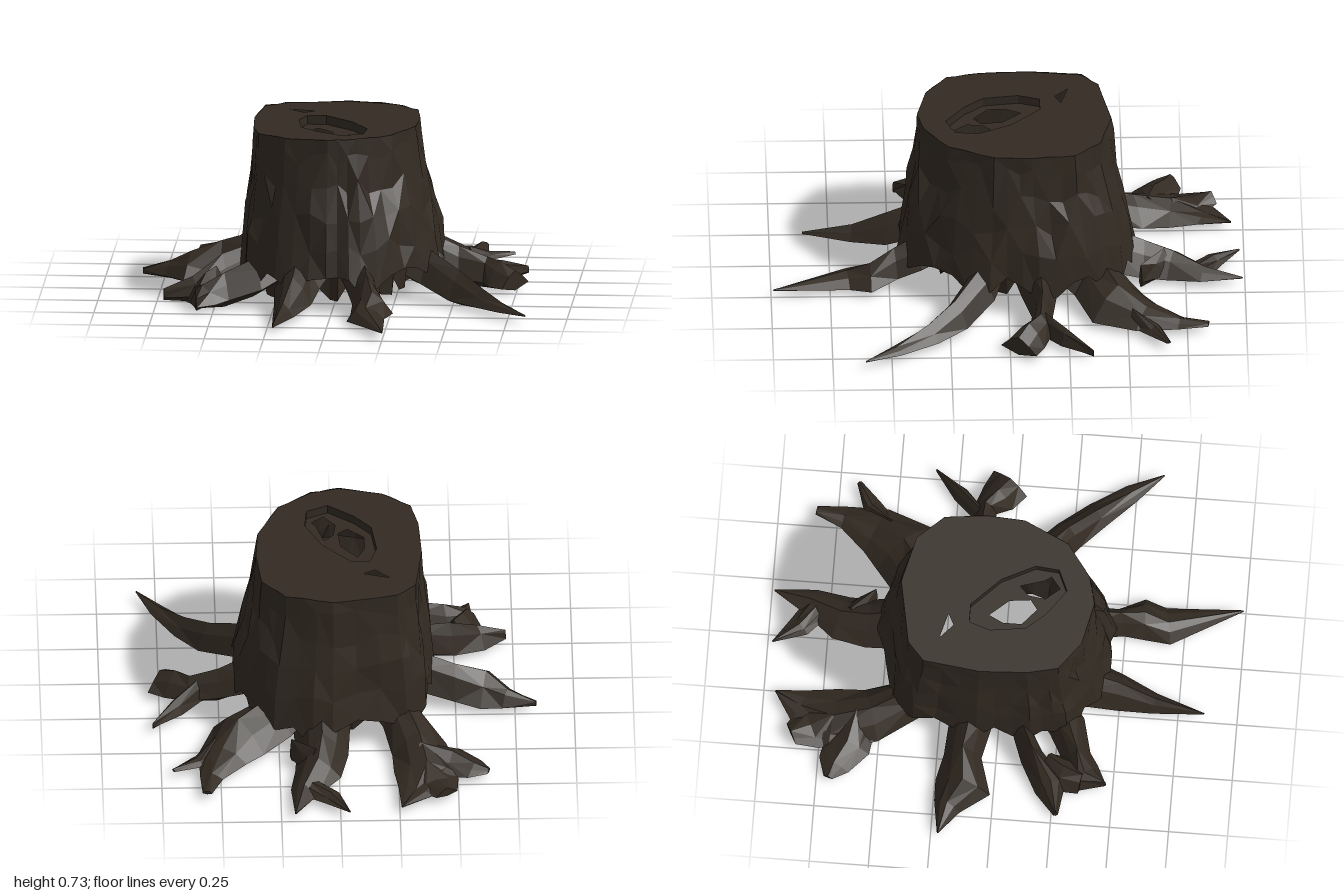
import * as THREE from 'three';

const bark = new THREE.MeshStandardMaterial({ color: 0x322a22, roughness: 1, flatShading: true, side: THREE.DoubleSide });

// repeatable jitter in -1..1
let seed = 7;
const jitter = () => {
  seed = (seed * 16807) % 2147483647;
  return (seed / 2147483647) * 2 - 1;
};

// skin a list of closed rings (arrays of Vector3), optionally closing both ends
function skin(rings, capped = false) {
  const n = rings[0].length, pos = [], index = [];
  rings.flat().forEach(p => pos.push(p.x, p.y, p.z));
  for (let i = 0; i < rings.length - 1; i++) {
    for (let j = 0; j < n; j++) {
      const a = i * n + j, c = i * n + (j + 1) % n;
      if ((i + j) % 2) index.push(a, c, a + n, c, c + n, a + n);
      else index.push(a, c, c + n, a, c + n, a + n);
    }
  }
  if (capped) {
    const last = (rings.length - 1) * n;
    for (let j = 1; j < n - 1; j++) index.push(0, j + 1, j, last, last + j, last + j + 1);
  }
  const g = new THREE.BufferGeometry();
  g.setAttribute('position', new THREE.Float32BufferAttribute(pos, 3));
  g.setIndex(index);
  g.computeVertexNormals();
  return g;
}

// horizontal sheet from an (x, z) outline with holes
function sheet(outline, holes, y) {
  const flat = pts => pts.map(([x, z]) => new THREE.Vector2(x, -z));
  const shape = new THREE.Shape(flat(outline));
  holes.forEach(h => shape.holes.push(new THREE.Path(flat(h))));
  return new THREE.ShapeGeometry(shape).rotateX(-Math.PI / 2).translate(0, y, 0);
}

// roots in plan: [x, z, half width] from the trunk outwards
const roots = [
  [[.40, .13, .08], [.53, .23, .07], [.63, .34, .06], [.74, .48, .04], [.83, .61, 0]],
  [[.38, -.13, .08], [.50, -.14, .045], [.62, -.13, .05], [.68, -.08, .08], [.745, -.035, .09]],
  [[.28, -.38, .13], [.42, -.46, .15], [.49, -.58, .11], [.54, -.72, .05], [.56, -.84, .02]],
  [[.07, -.44, .12], [.07, -.58, .11], [.09, -.70, .10], [.15, -.83, .06], [.19, -.99, 0]],
  [[-.27, -.38, .09], [-.34, -.54, .12], [-.37, -.70, .14], [-.32, -.84, .08], [-.26, -.95, 0]],
  [[-.38, -.12, .09], [-.50, -.14, .08], [-.63, -.13, .12], [-.72, -.19, .06], [-.84, -.22, 0]],
  [[-.38, .10, .04], [-.48, .15, .05], [-.60, .24, .07], [-.72, .27, .01]],
  [[-.34, .29, .08], [-.46, .34, .06], [-.55, .38, .08], [-.57, .47, 0]],
  [[-.15, .38, .10], [-.16, .50, .08], [-.19, .65, .045], [-.22, .86, 0]],
  [[.13, .38, .07], [.15, .48, .06], [.18, .58, .09], [.16, .68, .08], [.25, .99, 0]]
];
// side branches growing out of the roots
const forks = [
  [[.58, -.14, .03], [.68, -.24, .035], [.78, -.35, 0]],
  [[.52, -.52, .03], [.60, -.61, .04], [.70, -.67, .01]],
  [[.13, -.80, .06], [.04, -.87, .05], [-.04, -.98, 0]],
  [[.10, -.66, .05], [.15, -.61, .04], [.20, -.56, .01]],
  [[-.34, -.60, .09], [-.48, -.63, .10], [-.57, -.68, .07], [-.63, -.70, .02]],
  [[-.37, -.70, .11], [-.41, -.79, .10], [-.45, -.87, .05]],
  [[-.50, .22, .05], [-.54, .29, .08], [-.56, .37, .06]]
];

// ridged, flattened root that sinks towards its tip
const section = [[1, .25], [.55, .7], [0, 1], [-.5, .75], [-1, .2], [0, 0]];
function rootGeometry(path, joinsTrunk) {
  const pts = joinsTrunk ? [[path[0][0] * .8, path[0][1] * .8, path[0][2]], ...path] : path;
  const rings = pts.map(([x, z, w], i) => {
    const p = pts[Math.max(i - 1, 0)], q = pts[Math.min(i + 1, pts.length - 1)];
    const d = new THREE.Vector2(q[0] - p[0], q[1] - p[1]).normalize();
    const r = Math.min(Math.hypot(x, z), 1);
    const slim = Math.min(1, w / .05);
    const low = .01 + Math.max(0, .55 - r) * .35 + Math.max(0, r - .65) * .09;
    const fall = 1.3 + Math.max(0, z);
    const high = Math.max(low + .008 + .025 * slim, .04 + .2 * Math.pow((1 - r) / .6, fall) * (.6 + .4 * slim));
    const half = Math.max(w, .003);
    return section.map(([u, v]) => new THREE.Vector3(
      x + d.y * half * u,
      low + (high - low) * v + jitter() * .01 * slim * v,
      z - d.x * half * u));
  });
  return skin(rings, true);
}

// sawn outline, refined to three points per side
const corners = [[-.33, -.32], [-.25, -.39], [.02, -.44], [.22, -.39], [.32, -.28], [.34, -.1], [.33, .06],
  [.24, .25], [.1, .35], [-.02, .38], [-.2, .34], [-.32, .25], [-.35, .12], [-.36, -.08]];
const rim = corners.flatMap(([x, z], i) => {
  const [u, v] = corners[(i + 1) % corners.length];
  return [0, 1 / 3, 2 / 3].map(t => [x + (u - x) * t, z + (v - z) * t]);
});

const rootAngles = roots.map(r => Math.atan2(r[0][1], r[0][0]));
// 1 in line with a root, 0 between roots
const rootPull = a => Math.max(...rootAngles.map(b => {
  const d = Math.atan2(Math.sin(a - b), Math.cos(a - b));
  return Math.exp(-((d / .19) ** 2));
}));

// rim moved outwards by a distance, less on the straighter left-hand side of the plan
const spread = ([x, z], out) => {
  const r = Math.hypot(x, z);
  const s = 1 + out * (x < 0 ? 1 + .5 * x / r : 1) / r;
  return [x * s, z * s];
};

function trunkGeometry() {
  // [height, outward spread, roughness]
  const rows = [[.738, 0, 0], [.66, .006, .006], [.54, .022, .012], [.41, .052, .015], [.29, .078, .015], [.19, .1, .012]];
  const rings = rows.map(([y, out, rough], k) => rim.map(p => {
    const pull = rootPull(Math.atan2(p[1], p[0]));
    const [x, z] = spread(p, out + rough * jitter() + (k / 5) ** 2 * (pull - .5) * .035);
    const drop = k === 5 ? -.11 * pull + jitter() * .025 : k ? jitter() * .035 : Math.abs(jitter()) * .006;
    return new THREE.Vector3(x, y + drop, z);
  }));
  return skin(rings);
}

// jagged rotten wall inside the base, hanging almost to the ground
function liningGeometry() {
  const rows = [[.48, .02], [.3, -.015], [.17, -.045], [.05, -.06]];
  const rings = rows.map(([y, out], k) => rim.map((p, j) => {
    const [x, z] = spread(p, out + (k ? (j % 3 - 1) * .015 + jitter() * .01 : 0));
    const notch = k === 3 ? (j % 3 === 1 ? .045 : -.012) + jitter() * .01 : 0;
    return new THREE.Vector3(x, y + notch, z);
  }));
  return skin(rings);
}

export function createModel() {
  const stump = new THREE.Group();
  stump.name = 'treeStump';
  const add = (name, geometry) => {
    const m = new THREE.Mesh(geometry, bark);
    m.name = name;
    stump.add(m);
  };

  add('trunk', trunkGeometry());
  add('innerWall', liningGeometry());

  // sawn top with a crack and a rotten hollow
  const crack = [[-.22, -.26], [-.11, -.23], [-.16, -.205]];
  const hollow = [[-.14, -.14], [-.06, -.14], [.06, -.02], [.13, .12], [.12, .22], [.03, .26], [-.08, .18], [-.15, .1], [-.17, -.05]];
  const holes = [
    [[-.09, -.06], [-.02, .02], [-.01, .11], [-.05, .14], [-.12, .08], [-.12, 0]],
    [[.05, .06], [.08, .16], [.1, .19], [.05, .23], [0, .17], [.01, .1]]
  ];
  add('sawnTop', sheet(rim, [crack, hollow], .738));
  const ring = y => hollow.map(([x, z]) => new THREE.Vector3(x, y, z)).reverse();
  add('hollowWall', skin([ring(.738), ring(.7)]));
  add('hollowFloor', sheet(hollow, holes, .7));

  roots.forEach(r => add('root', rootGeometry(r, true)));
  forks.forEach(r => add('rootFork', rootGeometry(r, false)));
  return stump;
}
